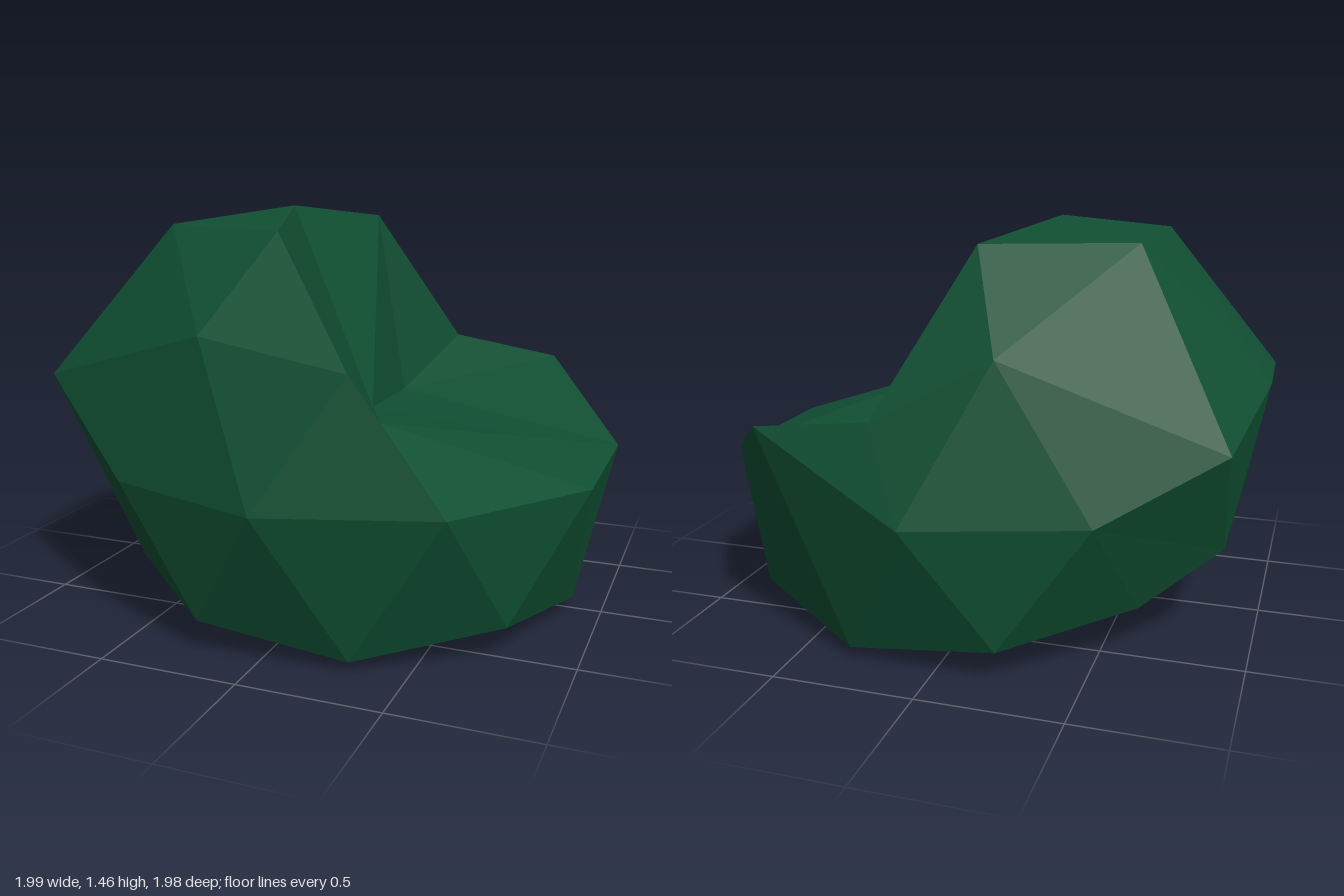
import * as THREE from 'three';

// Sculpted corners: [direction on the unit sphere, final position].
// A fourth-quadrant twin (z mirrored) is added when the flag is true.
const MOVES = [
  // crown, leaning to one side
  [[0, 1, 0], [-0.22, 1.46, 0]],
  [[0.16, 0.85, 0.5], [-0.06, 1.4, 0.5], true],
  [[-0.43, 0.85, 0.31], [-0.57, 1.4, 0.31], true],
  // notch and low shelf
  [[0.53, 0.85, 0], [0.1, 0.7, 0]],
  [[0.89, 0.45, 0], [0.74, 0.64, 0]],
  [[0.69, 0.53, 0.5], [0.31, 0.77, 0.5]],
  [[0.69, 0.53, -0.5], [0.06, 0.67, -0.5]],
  [[0.28, 0.45, -0.85], [0.2, 0.86, -0.84]],
  [[0.59, 0, -0.81], [0.64, 0.8, -0.8]],
  // bulging side
  [[-0.85, 0.53, 0], [-1, 0.88, 0]],
  [[-0.72, 0.45, 0.53], [-0.98, 0.85, 0.52]],
  [[-0.72, 0.45, -0.53], [-0.92, 0.75, -0.52]],
  [[-0.95, 0, 0.31], [-0.89, 0.35, 0.31], true],
  [[-0.89, -0.45, 0], [-0.84, 0.27, 0]],
  [[-0.69, -0.53, 0.5], [-0.63, 0.18, 0.5], true],
  // flattened base
  [[0, -1, 0], [0.05, 0.01, 0]],
  [[-0.53, -0.85, 0], [-0.47, 0.04, 0]],
  [[-0.16, -0.85, 0.5], [-0.11, 0, 0.5]],
  [[-0.16, -0.85, -0.5], [-0.11, 0.08, -0.5]],
  [[0.43, -0.85, 0.31], [0.47, 0.06, 0.31], true],
];

function buildMoves() {
  const list = [];
  for (const [from, to, mirrored] of MOVES) {
    const a = new THREE.Vector3(...from), b = new THREE.Vector3(...to);
    list.push([a, b]);
    if (mirrored) {
      const flip = new THREE.Vector3(1, 1, -1);
      list.push([a.clone().multiply(flip), b.clone().multiply(flip)]);
    }
  }
  return list;
}

export function createModel() {
  const group = new THREE.Group();
  group.name = 'boulder';

  const darkGreen = new THREE.MeshStandardMaterial({ color: 0x104f32, flatShading: true });
  darkGreen.name = 'dark green';

  // Subdivided icosahedron turned so that one corner is the top pole
  const geometry = new THREE.IcosahedronGeometry(1, 1);
  geometry.rotateX(-Math.atan((1 + Math.sqrt(5)) / 2));
  geometry.rotateY(Math.PI / 2);

  // Move each corner to its sculpted place, or keep it on the sphere
  const moves = buildMoves();
  const pos = geometry.attributes.position;
  const v = new THREE.Vector3();
  for (let i = 0; i < pos.count; i++) {
    v.fromBufferAttribute(pos, i);
    const move = moves.find(([from]) => from.distanceTo(v) < 0.08);
    if (move) v.copy(move[1]);
    else v.multiplyScalar(0.99).add(new THREE.Vector3(0.05, 0.56, 0));
    pos.setXYZ(i, v.x, v.y, v.z);
  }
  geometry.computeVertexNormals();

  const body = new THREE.Mesh(geometry, darkGreen);
  body.name = 'notchedBoulder';
  group.add(body);
  return group;
}
